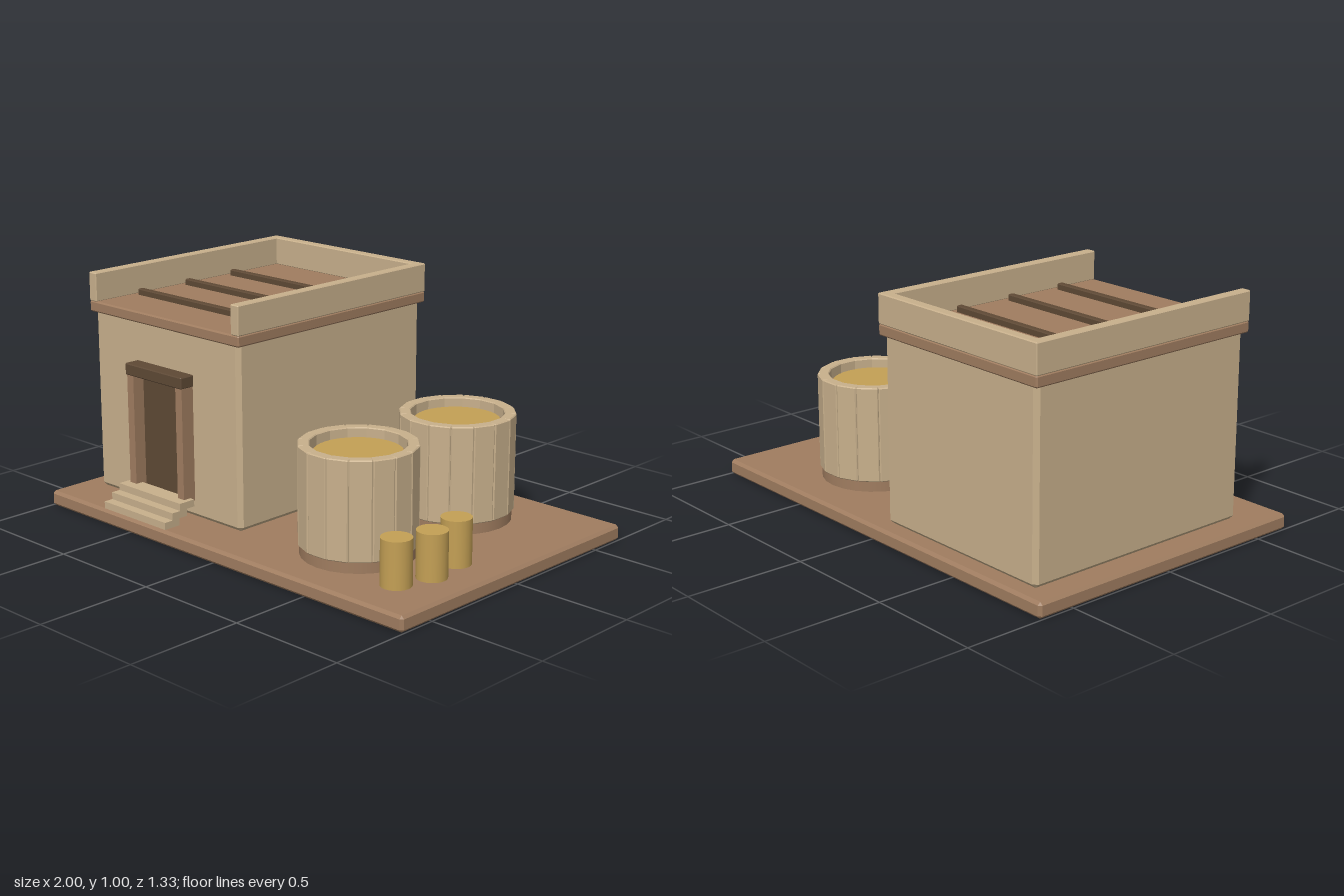
import * as THREE from 'three';
import { ConvexGeometry } from 'three/addons/geometries/ConvexGeometry.js';

const material = (name, color) => {
  const m = new THREE.MeshStandardMaterial({ color });
  m.name = name;
  return m;
};

// Box given by its limits, with every edge cut at 45 degrees by c
function chamferBox([x0, x1], [y0, y1], [z0, z1], c) {
  const half = [(x1 - x0) / 2, (y1 - y0) / 2, (z1 - z0) / 2];
  const points = [];
  for (const sx of [-1, 1]) for (const sy of [-1, 1]) for (const sz of [-1, 1])
    for (let axis = 0; axis < 3; axis++) {
      const p = half.map((h, i) => (i === axis ? h : h - c));
      points.push(new THREE.Vector3(p[0] * sx, p[1] * sy, p[2] * sz));
    }
  return new ConvexGeometry(points).translate((x0 + x1) / 2, (y0 + y1) / 2, (z0 + z1) / 2);
}

function plainBox([x0, x1], [y0, y1], [z0, z1]) {
  return new THREE.BoxGeometry(x1 - x0, y1 - y0, z1 - z0)
    .translate((x0 + x1) / 2, (y0 + y1) / 2, (z0 + z1) / 2);
}

function drum(r, y0, y1, sides) {
  return new THREE.CylinderGeometry(r, r, y1 - y0, sides).translate(0, (y0 + y1) / 2, 0);
}

export function createModel() {
  const tan = material('mud plaster', 0xc8b08c);
  const brown = material('clay brown', 0xa07d60);
  const dark = material('dark timber', 0x5e4935);
  const gold = material('grain gold', 0xc4a055);

  const model = new THREE.Group();
  model.name = 'granary';
  const add = (parent, name, geometry, mat) => {
    const mesh = new THREE.Mesh(geometry, mat);
    mesh.name = name;
    parent.add(mesh);
    return mesh;
  };
  const group = (name) => {
    const g = new THREE.Group();
    g.name = name;
    model.add(g);
    return g;
  };

  // Ground slab
  add(model, 'groundSlab', chamferBox([-1, 1], [0, 0.066], [-0.665, 0.665], 0.012), brown);

  // House with a flat roof and a parapet open at the front
  const house = group('house');
  add(house, 'walls', chamferBox([-0.905, -0.035], [0.066, 0.85], [-0.602, 0.47], 0.018), tan);
  add(house, 'roofSlab', chamferBox([-0.92, -0.018], [0.835, 0.882], [-0.616, 0.485], 0.006), brown);
  const parapetY = [0.88, 1.003];
  add(house, 'parapetLeft', chamferBox([-0.062, -0.018], parapetY, [-0.616, 0.485], 0.004), tan);
  add(house, 'parapetRight', chamferBox([-0.92, -0.876], parapetY, [-0.616, 0.485], 0.004), tan);
  add(house, 'parapetBack', chamferBox([-0.918, -0.02], parapetY, [-0.616, -0.572], 0.004), tan);
  for (const z of [-0.27, -0.003, 0.264])
    add(house, 'roofBeam', chamferBox([-0.852, -0.085], [0.878, 0.908], [z - 0.014, z + 0.014], 0.004), dark);

  // Doorway
  const doorway = group('doorway');
  add(doorway, 'door', plainBox([-0.592, -0.348], [0.1, 0.605], [0.46, 0.482]), dark);
  for (const x of [-0.637, -0.341])
    add(doorway, 'doorPost', plainBox([x, x + 0.038], [0.14, 0.625], [0.46, 0.53]), brown);
  add(doorway, 'lintel', chamferBox([-0.642, -0.3], [0.622, 0.671], [0.46, 0.536], 0.004), dark);

  // Steps, each a separate slab set back from the one below
  for (let i = 0; i < 3; i++) {
    const y = 0.066 + i * 0.03;
    const z = 0.655 - i * 0.041;
    add(doorway, 'step', plainBox([-0.658, -0.28], [y, y + 0.03], [z - 0.077, z]), tan);
  }

  // Grain bins ringed with upright staves
  const staves = 16;
  for (const z of [0.3, -0.287]) {
    const bin = group('grainBin');
    bin.position.set(0.448, 0, z);
    add(bin, 'binFoot', drum(0.23, 0.06, 0.112, 24), brown);
    add(bin, 'binCore', drum(0.195, 0.11, 0.468, 32), brown);
    add(bin, 'grain', drum(0.175, 0.46, 0.48, 32), gold);
    const stave = chamferBox([-0.045, 0.045], [0.11, 0.515], [0.188, 0.234], 0.004);
    for (let i = 0; i < staves; i++)
      add(bin, 'stave', stave, tan).rotation.y = (i / staves) * Math.PI * 2;
  }

  // Grain sacks
  for (const [x, z] of [[0.798, 0.128], [0.825, 0.3], [0.78, 0.45]])
    add(model, 'sack', drum(0.062, 0.066, 0.256, 20), gold).position.set(x, 0, z);

  return model;
}
